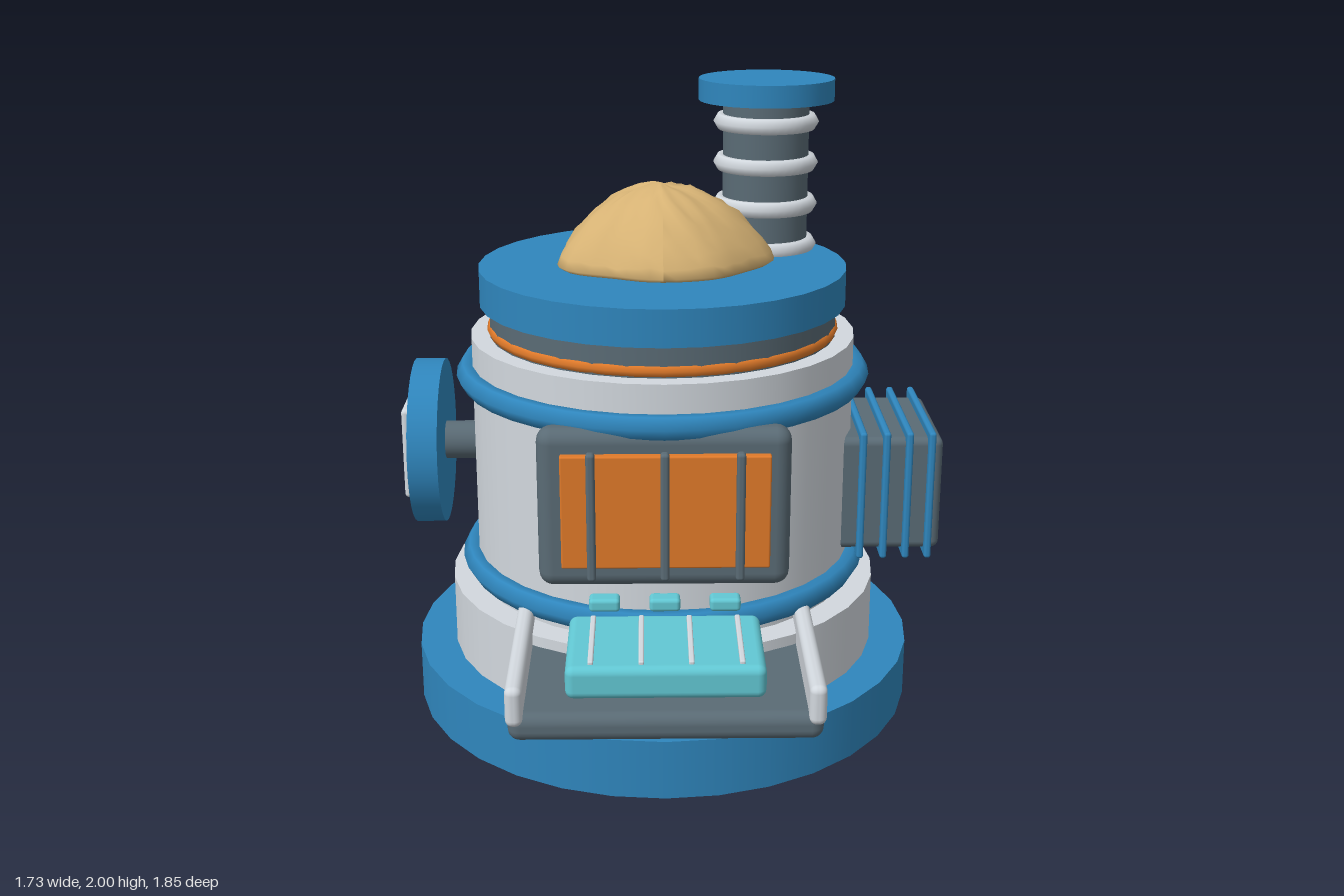
import * as THREE from 'three';
import { RoundedBoxGeometry } from 'three/addons/geometries/RoundedBoxGeometry.js';

const paint = (color) => new THREE.MeshStandardMaterial({ color });
const CX = -0.03, CZ = -0.105; // main vertical axis

export function createModel() {
  const model = new THREE.Group();
  const blue = paint(0x2f86bd), light = paint(0xd2d8de), slate = paint(0x5a6b75);
  const orange = paint(0xe07a2a), cyan = paint(0x62c8d4), sand = paint(0xd6b274);

  const add = (name, geometry, material, x = 0, y = 0, z = 0, parent = model) => {
    const mesh = new THREE.Mesh(geometry, material);
    mesh.name = name;
    mesh.position.set(x, y, z);
    parent.add(mesh);
    return mesh;
  };
  // Upright cylinder from y0 to y1
  const drum = (name, r, y0, y1, material, x = CX, z = CZ) =>
    add(name, new THREE.CylinderGeometry(r, r, y1 - y0, 32), material, x, (y0 + y1) / 2, z);
  // Horizontal ring with a six-sided section
  const hoop = (name, r, tube, y, material, x = CX, z = CZ, sides = 6) => {
    add(name, new THREE.TorusGeometry(r, tube, sides, 40), material, x, y, z).rotation.x = Math.PI / 2;
  };
  // Rounded box given by its extents
  const block = (name, [x0, x1], [y0, y1], [z0, z1], radius, material, parent = model) =>
    add(name, new RoundedBoxGeometry(x1 - x0, y1 - y0, z1 - z0, 3, radius), material,
      (x0 + x1) / 2, (y0 + y1) / 2, (z0 + z1) / 2, parent);

  // Stacked round body
  drum('base', 0.82, 0, 0.19, blue);
  drum('plinth', 0.7, 0.19, 0.42, light);
  drum('body', 0.615, 0.42, 1.23, light);
  drum('neck', 0.555, 1.23, 1.33, slate);
  drum('lid', 0.585, 1.33, 1.445, blue);
  hoop('lowerBand', 0.625, 0.04, 0.485, blue);
  hoop('upperBand', 0.625, 0.04, 1.105, blue);
  hoop('neckSeal', 0.54, 0.022, 1.25, orange, CX, CZ, 8);

  // Chimney
  drum('chimneyPipe', 0.14, 1.44, 1.94, slate, 0.31, -0.34);
  drum('chimneyCap', 0.22, 1.93, 2, blue, 0.31, -0.34);
  for (const y of [1.46, 1.595, 1.73, 1.862]) hoop('chimneyRing', 0.143, 0.028, y, light, 0.31, -0.34);

  add('sandPile', sandPile(), sand, CX, 1.452, -0.1);

  // Front window with grille
  block('windowFrame', [-0.405, 0.342], [0.605, 1.1], [0.44, 0.54], 0.045, slate);
  block('windowPane', [-0.335, 0.28], [0.68, 1.03], [0.53, 0.565], 0.006, orange);
  for (const x of [-0.245, -0.03, 0.19]) {
    block('windowBar', [x - 0.013, x + 0.013], [0.655, 1.05], [0.57, 0.605], 0.01, slate);
  }

  // Front tray with side rails and pad
  block('tray', [-0.478, 0.416], [0.3, 0.386], [0.4, 0.915], 0.035, slate);
  for (const x of [-0.458, 0.396]) {
    block('trayRail', [x - 0.025, x + 0.025], [0.352, 0.475], [0.25, 0.925], 0.022, light);
  }
  block('trayPad', [-0.315, 0.253], [0.42, 0.52], [0.53, 0.89], 0.025, cyan);
  for (const x of [-0.243, -0.1, 0.042, 0.185]) {
    block('padRib', [x - 0.008, x + 0.008], [0.515, 0.53], [0.56, 0.865], 0.005, light);
  }
  for (const x of [-0.21, -0.03, 0.15]) {
    block('button', [x - 0.046, x + 0.046], [0.535, 0.576], [0.5, 0.558], 0.012, cyan);
  }

  // Finned radiator on the left side
  block('radiatorCore', [0.5, 0.86], [0.548, 0.925], [-0.33, 0.118], 0.025, slate);
  for (const x of [0.602, 0.677, 0.749, 0.82]) {
    block('radiatorFin', [x - 0.011, x + 0.011], [0.525, 0.952], [-0.352, 0.144], 0.009, blue);
  }

  // Hand wheel on the right side
  const wheel = new THREE.Group();
  wheel.name = 'handWheel';
  model.add(wheel);
  const sideDisc = (name, r, x0, x1, material) => {
    add(name, new THREE.CylinderGeometry(r, r, x1 - x0, 32), material, (x0 + x1) / 2, 0.853, -0.107, wheel)
      .rotation.z = Math.PI / 2;
  };
  sideDisc('wheelShaft', 0.062, -0.76, -0.6, slate);
  sideDisc('wheelDisc', 0.268, -0.835, -0.74, blue);
  for (const s of [-1, 1]) {
    const y = 0.853 + s * 0.125, z = -0.107 + s * 0.125, bar = [-0.865, -0.825];
    block('wheelGripBar', bar, [y - 0.025, y + 0.025], [-0.232, 0.018], 0.014, light, wheel);
    block('wheelGripBar', bar, [0.703, 1.003], [z - 0.025, z + 0.025], 0.014, light, wheel);
  }
  return model;
}

// Domed heap with an uneven outline and a lumpy surface
function sandPile() {
  const profile = [[0, 0], [0.95, 0], [1, 0.012], [0.97, 0.04], [0.9, 0.075], [0.8, 0.115], [0.68, 0.155],
    [0.55, 0.19], [0.4, 0.217], [0.25, 0.236], [0.1, 0.247], [0, 0.25]];
  const geometry = new THREE.LatheGeometry(profile.map(([r, y]) => new THREE.Vector2(r, y)), 48);
  const p = geometry.attributes.position;
  for (let i = 0; i < p.count; i++) {
    const x = p.getX(i), z = p.getZ(i), y = p.getY(i), a = Math.atan2(z, x);
    const outline = 0.318 + 0.02 * Math.cos(2 * a) + 0.012 * Math.sin(5 * a + 1) + 0.007 * Math.cos(7 * a);
    const lump = 0.006 * Math.sin(17 * x + 3) * Math.cos(19 * z) + 0.004 * Math.sin(31 * (x + z));
    p.setXYZ(i, x * outline, y > 0.03 ? y + lump : y, z * outline);
  }
  geometry.computeVertexNormals();
  return geometry;
}
